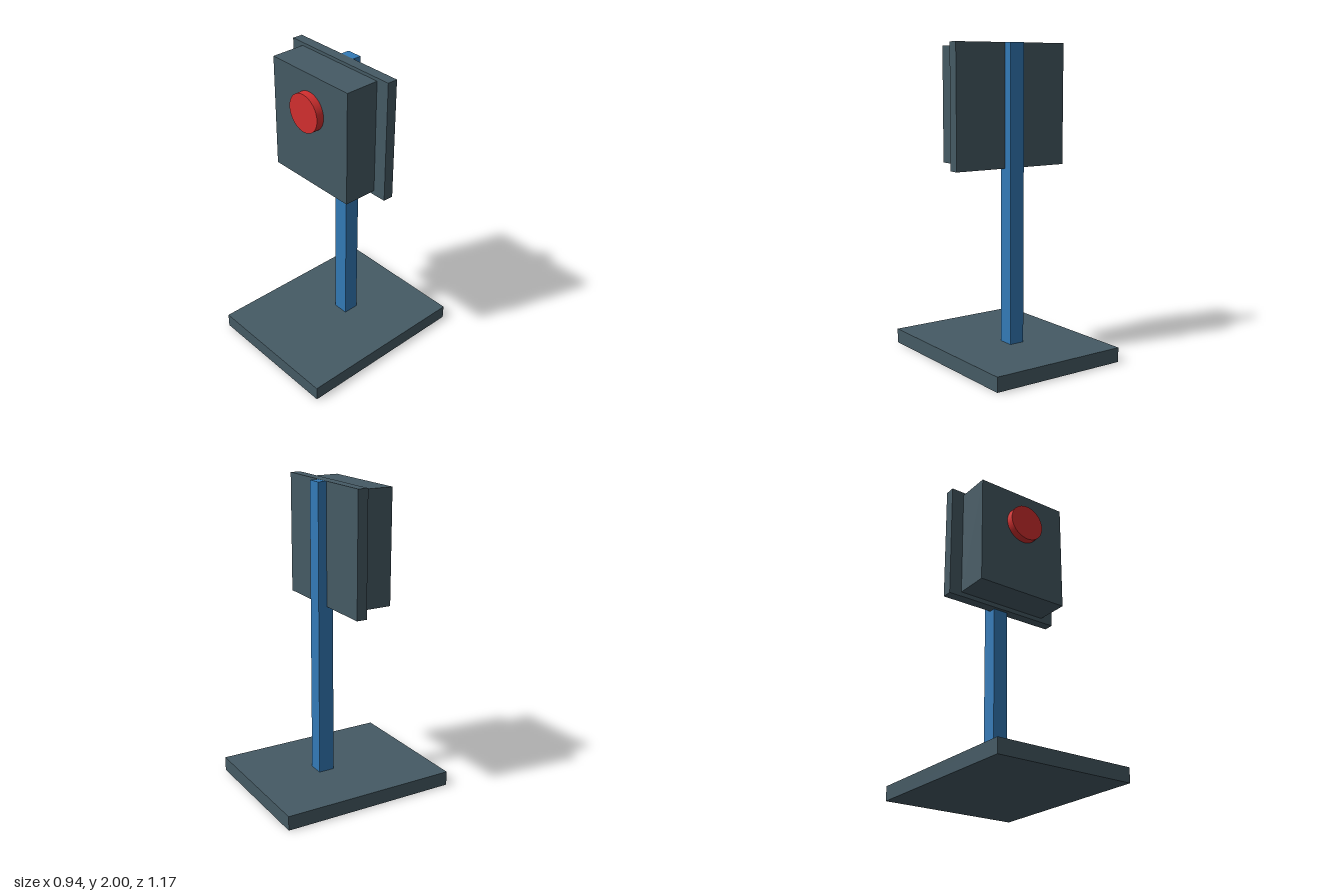
import * as THREE from 'three';

const slate = new THREE.MeshStandardMaterial({ color: 0x455a64 });
const blue = new THREE.MeshStandardMaterial({ color: 0x337ab7 });
const red = new THREE.MeshStandardMaterial({ color: 0xd32f2f });

// Box given by its width and its y and z extents, centred on x = 0
function slab(name, material, width, y0, y1, z0, z1) {
  const mesh = new THREE.Mesh(new THREE.BoxGeometry(width, y1 - y0, z1 - z0), material);
  mesh.name = name;
  mesh.position.set(0, (y0 + y1) / 2, (z0 + z1) / 2);
  return mesh;
}

export function createModel() {
  const group = new THREE.Group();
  group.name = 'alarmStand';

  // Stand: floor plate and square post
  group.add(slab('basePlate', slate, 0.936, 0, 0.094, -0.587, 0.587));
  group.add(slab('post', blue, 0.102, 0.09, 1.999, -0.14, -0.036));

  // Sign: mounting panel with the alarm housing on its front
  group.add(slab('backPanel', slate, 0.82, 1.22, 2, -0.082, -0.014));
  group.add(slab('alarmHousing', slate, 0.644, 1.25, 1.98, -0.016, 0.21));

  // Round push button facing forward
  const button = new THREE.Mesh(new THREE.CylinderGeometry(0.123, 0.123, 0.052, 48), red);
  button.name = 'alarmButton';
  button.rotation.x = Math.PI / 2;
  button.position.set(0, 1.745, 0.234);
  group.add(button);

  return group;
}
